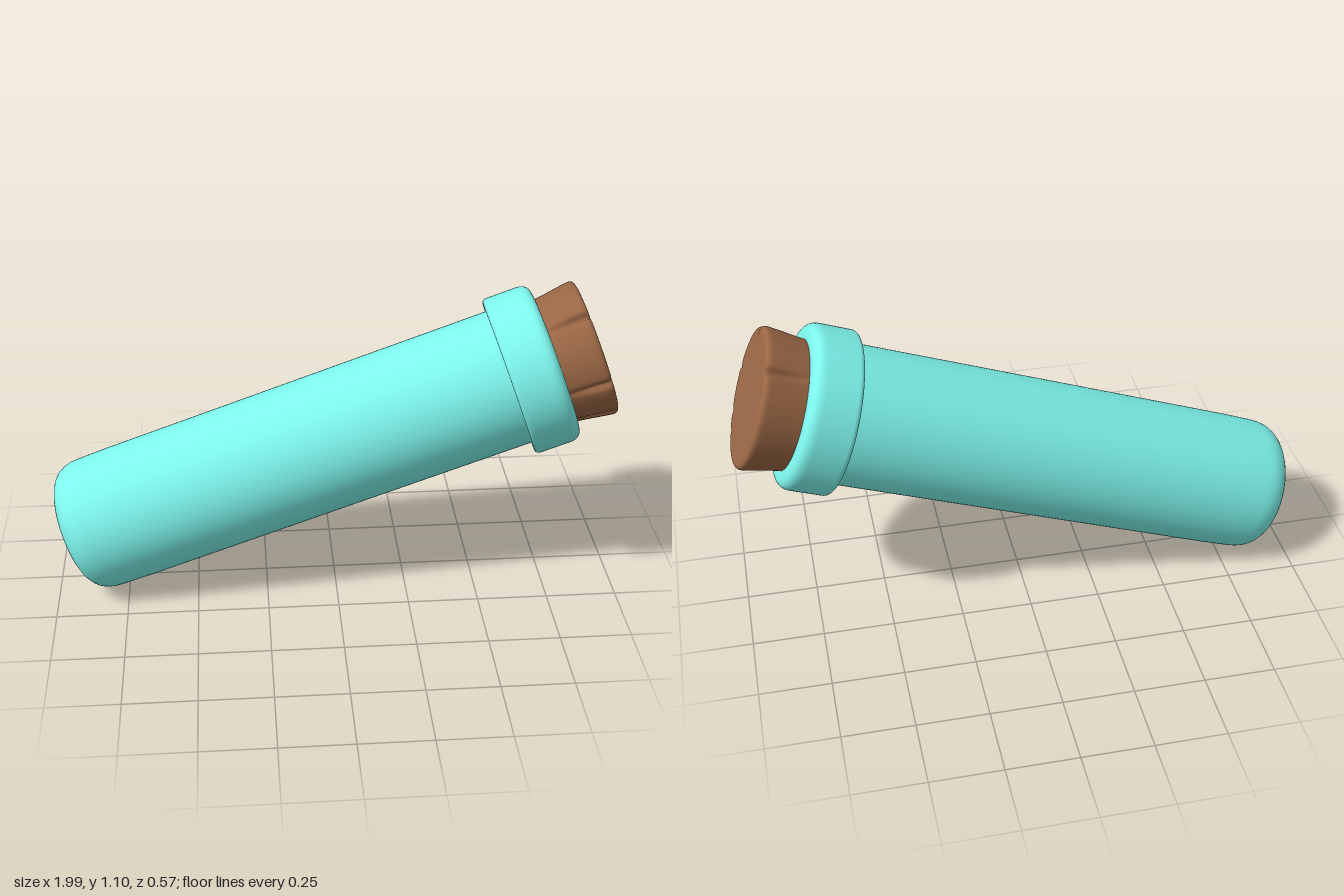
import * as THREE from 'three';
import { mergeVertices } from 'three/addons/utils/BufferGeometryUtils.js';

// Lathe profile from [radius, height, bevel] corners; a bevel rounds the corner.
function profile(corners) {
  const pts = [];
  corners.forEach(([r, y, b], i) => {
    const p = new THREE.Vector2(r, y);
    if (!b) { pts.push(p); return; }
    const toward = ([qr, qy]) => new THREE.Vector2(qr, qy).sub(p).setLength(b).add(p);
    const a = toward(corners[i - 1]), c = toward(corners[i + 1]);
    pts.push(...new THREE.QuadraticBezierCurve(a, p, c).getPoints(8));
  });
  return pts;
}

function lathe(name, corners, material, segments = 72) {
  const mesh = new THREE.Mesh(new THREE.LatheGeometry(profile(corners), segments), material);
  mesh.name = name;
  return mesh;
}

// Presses narrow grooves into the upper edge and side of the cork.
function carveCork(geometry, base, top) {
  const grooves = [[-35, 0.022], [35, 0.022], [95, 0.016], [137, 0.02], [156, 0.014]];
  geometry.deleteAttribute('normal');
  geometry.deleteAttribute('uv');
  const g = mergeVertices(geometry, 1e-5);
  const pos = g.attributes.position;
  for (let i = 0; i < pos.count; i++) {
    const x = pos.getX(i), y = pos.getY(i), z = pos.getZ(i);
    const r = Math.hypot(x, z);
    if (r < 0.2) continue;
    const angle = Math.atan2(z, -x);
    const rise = THREE.MathUtils.smoothstep(y, base, top - 0.04);
    let dent = 0;
    for (const [deg, depth] of grooves) {
      const d = (angle - THREE.MathUtils.degToRad(deg)) / 0.05;
      dent += depth * Math.exp(-d * d) * rise;
    }
    const k = (r - dent) / r;
    pos.setXYZ(i, x * k, y, z * k);
  }
  g.computeVertexNormals();
  return g;
}

export function createModel() {
  const model = new THREE.Group();
  model.name = 'corkedTube';
  const glass = new THREE.MeshStandardMaterial({ color: 0x7df5ec });
  const corkMaterial = new THREE.MeshStandardMaterial({ color: 0x996644 });

  // Everything is turned about the tube's axis, then leaned over
  const vial = new THREE.Group();
  vial.name = 'vial';
  vial.rotation.z = -THREE.MathUtils.degToRad(70);
  vial.position.set(-0.174, 0.479, 0);
  model.add(vial);

  // Long body with a rounded, flat-bottomed end
  vial.add(lathe('tubeBody', [
    [0, -0.818, 0], [0.13, -0.818, 0], [0.238, -0.818, 0.105],
    [0.242, -0.6, 0], [0.243, 0.9, 0],
  ], glass));

  // Thick rounded collar around the mouth
  vial.add(lathe('collar', [
    [0.236, 0.838, 0], [0.286, 0.836, 0.02], [0.286, 1.008, 0.045],
    [0.215, 1.008, 0.015], [0.212, 0.95, 0],
  ], glass, 96));

  // Flared cork with chipped grooves
  const base = 0.96, top = 1.157;
  const cork = lathe('cork', [
    [0, base, 0], [0.219, base, 0], [0.224, 1.0, 0], [0.228, 1.03, 0],
    [0.232, 1.06, 0], [0.237, 1.09, 0], [0.241, 1.12, 0],
    [0.246, top, 0.025], [0.2, top, 0], [0.1, top, 0], [0, top, 0],
  ], corkMaterial, 240);
  cork.geometry = carveCork(cork.geometry, base, top);
  vial.add(cork);

  return model;
}
